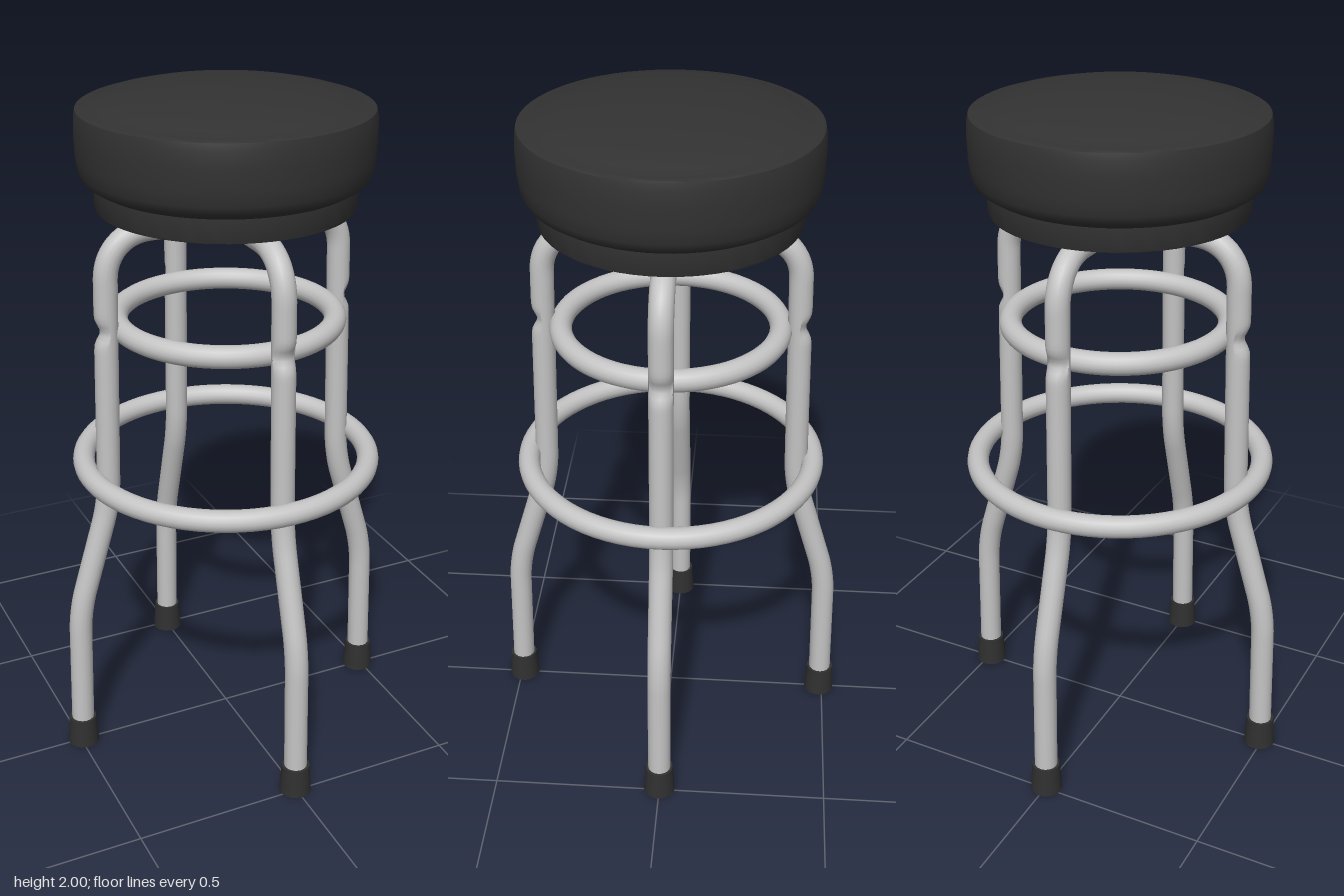
import * as THREE from 'three';
import { toCreasedNormals, mergeVertices } from 'three/addons/utils/BufferGeometryUtils.js';

const V = (x, y) => new THREE.Vector3(x, y, 0);

// Straight runs joined by rounded bends; each point is [x, y, bendLength]
function bentPath(points) {
  const path = new THREE.CurvePath();
  let from = V(...points[0]);
  for (let i = 1; i < points.length - 1; i++) {
    const [prev, corner, next] = [points[i - 1], points[i], points[i + 1]].map(p => V(p[0], p[1]));
    const bend = points[i][2];
    const a = corner.clone().add(prev.sub(corner).setLength(bend));
    const b = corner.clone().add(next.sub(corner).setLength(bend));
    path.add(new THREE.LineCurve3(from, a));
    path.add(new THREE.CubicBezierCurve3(a, a.clone().lerp(corner, 0.6), b.clone().lerp(corner, 0.6), b));
    from = b;
  }
  const last = points[points.length - 1];
  path.add(new THREE.LineCurve3(from, V(last[0], last[1])));
  return path;
}

// One tube running up a leg, across under the seat and down the opposite leg
function archGeometry(crossY) {
  const half = [[0.49, 0.06, 0], [0.481, 0.47, 0.07], [0.377, 0.82, 0.07], [0.36, 1.63, 0.13]];
  const points = [...half, ...half.map(([x, y, b]) => [-x, y, b]).reverse()];
  const tube = new THREE.TubeGeometry(bentPath(points), 260, 0.034, 16, false);
  tube.deleteAttribute('uv');
  tube.deleteAttribute('normal');
  const geo = mergeVertices(tube);
  const pos = geo.attributes.position;
  for (let i = 0; i < pos.count; i++) {
    let x = pos.getX(i), y = pos.getY(i), z = pos.getZ(i);
    if (y > 1.5) {
      // Pressed flat where the two tubes cross
      const t = 1 - THREE.MathUtils.smoothstep(Math.abs(x), 0.03, 0.14);
      y = THREE.MathUtils.lerp(y, crossY + (y - 1.63) * 0.3, t);
      z *= 1 + 0.3 * t;
    } else if (Math.abs(x) > 0.37) {
      // Dimple on the outside where the upper ring is fixed
      x -= Math.sign(x) * 0.018 * Math.exp(-(((y - 1.35) / 0.025) ** 2));
    }
    pos.setXYZ(i, x, y, z);
  }
  geo.computeVertexNormals();
  return geo;
}

export function createModel() {
  const group = new THREE.Group();
  const vinyl = new THREE.MeshStandardMaterial({ name: 'black vinyl', color: 0x323232 });
  const rubber = new THREE.MeshStandardMaterial({ name: 'black rubber', color: 0x303030 });
  const metal = new THREE.MeshStandardMaterial({ name: 'pale metal', color: 0xc4c4c5 });

  const add = (name, geo, mat, parent = group) => {
    const mesh = new THREE.Mesh(geo, mat);
    mesh.name = name;
    parent.add(mesh);
    return mesh;
  };

  // Cushion with domed top, piped edge and narrower base
  const profile = [
    [0, 1.672], [0.362, 1.672], [0.365, 1.68], [0.365, 1.738], [0.378, 1.745], [0.396, 1.757],
    [0.406, 1.78], [0.411, 1.82], [0.413, 1.88], [0.411, 1.925], [0.407, 1.944], [0.398, 1.949],
    [0.39, 1.948], [0.36, 1.961], [0.3, 1.976], [0.22, 1.988], [0.12, 1.997], [0, 2],
  ].map(([r, y]) => new THREE.Vector2(r, y));
  add('seat', toCreasedNormals(new THREE.LatheGeometry(profile, 64), 0.7), vinyl);

  // Two crossing tube arches make the four legs
  add('sideLegs', archGeometry(1.622), metal);
  add('frontBackLegs', archGeometry(1.634), metal).rotation.y = Math.PI / 2;

  // Upper brace and footrest rings
  for (const [name, radius, y] of [['upperRing', 0.313, 1.34], ['footRing', 0.424, 0.9]]) {
    const ring = add(name, new THREE.TorusGeometry(radius, 0.032, 16, 72), metal);
    ring.rotation.x = Math.PI / 2;
    ring.position.y = y;
  }

  // Rubber feet
  const footGeo = new THREE.CylinderGeometry(0.041, 0.047, 0.09, 24);
  for (let i = 0; i < 4; i++) {
    const a = (i * Math.PI) / 2;
    add('foot', footGeo, rubber).position.set(0.49 * Math.cos(a), 0.045, 0.49 * Math.sin(a));
  }
  return group;
}
